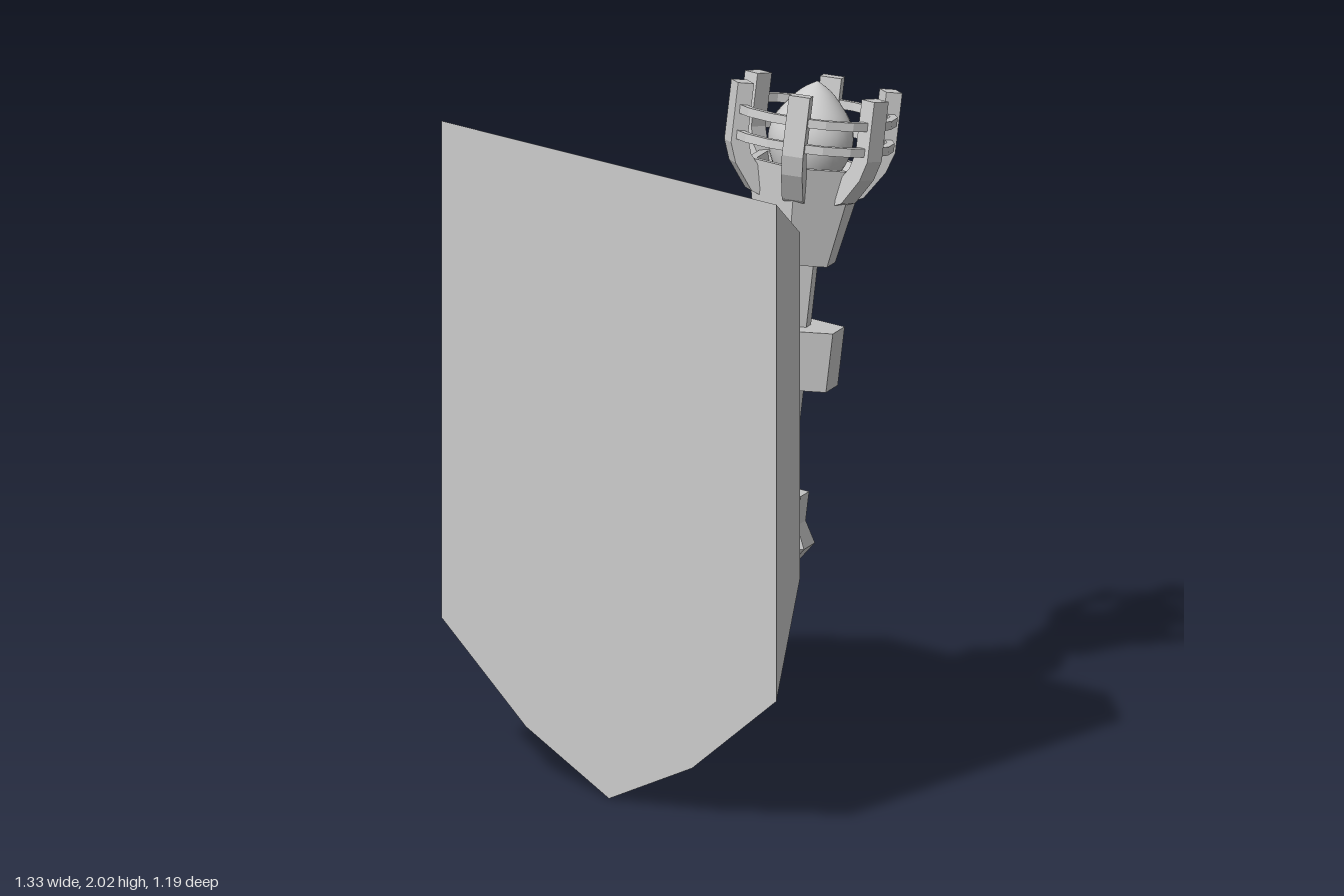
import * as THREE from 'three';
import { toCreasedNormals } from 'three/addons/utils/BufferGeometryUtils.js';

const flat = new THREE.MeshStandardMaterial({ color: 0xcccccc, flatShading: true });
const smooth = new THREE.MeshStandardMaterial({ color: 0xcccccc });

function add(parent, name, geometry, material = flat) {
  const mesh = new THREE.Mesh(geometry, material);
  mesh.name = name;
  parent.add(mesh);
  return mesh;
}

// Revolved profile of [radius, height] points, listed from the bottom up
function turned(profile, sides) {
  const points = profile.map(([r, h]) => new THREE.Vector2(r, h));
  return new THREE.LatheGeometry(points, sides, Math.PI / 2);
}

function fromTriangles(corners) {
  const geometry = new THREE.BufferGeometry().setFromPoints(corners);
  geometry.computeVertexNormals();
  return geometry;
}

// Shield outline: straight sides and top, pointed foot
function shieldRing(w, top, side, innerX, innerY, foot, z) {
  return [[w, top], [-w, top], [-w, side], [-innerX, innerY], [0, foot], [innerX, innerY], [w, side]]
    .map(([x, y]) => new THREE.Vector3(x, y, z));
}

// Band of faces between two outlines, front one first
function band(a, b) {
  const out = [];
  a.forEach((p, i) => {
    const j = (i + 1) % a.length;
    out.push(p, b[i], b[j], p, b[j], a[j]);
  });
  return fromTriangles(out);
}

function cap(ring, flip) {
  const out = [];
  for (let i = 1; i < ring.length - 1; i++) {
    out.push(ring[0], ring[flip ? i + 1 : i], ring[flip ? i : i + 1]);
  }
  return fromTriangles(out);
}

export function createModel() {
  const model = new THREE.Group();
  model.name = 'wallTorch';
  const centreX = -0.032;

  // Shield-shaped plate, tapering toward the torch
  const plate = new THREE.Group();
  plate.name = 'shieldPlate';
  model.add(plate);
  const front = shieldRing(0.665, 1.955, 0.43, 0.33, 0.16, 0.003, 0.597);
  const shoulder = shieldRing(0.44, 1.75, 0.69, 0.22, 0.54, 0.46, 0.243);
  const back = shieldRing(0.4, 1.71, 0.71, 0.2, 0.575, 0.505, 0.225);
  add(plate, 'plateFront', cap(front, false));
  add(plate, 'plateSides', toCreasedNormals(band(front, shoulder), 0.63), smooth);
  add(plate, 'plateBevel', band(shoulder, back));
  add(plate, 'plateBack', cap(back, true));

  // Diamond mount and arm, both four-sided and pointing to -z
  const bracket = new THREE.Group();
  bracket.name = 'bracket';
  bracket.position.set(centreX, 1.19, 0);
  bracket.rotation.x = -Math.PI / 2;
  model.add(bracket);
  add(bracket, 'diamondMount', turned([[0, -0.23], [0.255, -0.225], [0.229, -0.145], [0.195, -0.118], [0, -0.118]], 4));
  add(bracket, 'arm', turned([[0, -0.13], [0.066, -0.13], [0.066, 0.16], [0, 0.16]], 4));

  // Torch leaning away from the plate, measured from its collar
  const torch = new THREE.Group();
  torch.name = 'torch';
  torch.position.set(centreX, 1.193, -0.215);
  torch.rotation.x = THREE.MathUtils.degToRad(-10);
  model.add(torch);

  add(torch, 'shaft', turned([[0, -0.45], [0.073, -0.45], [0.068, 0.3], [0, 0.3]], 6));
  add(torch, 'collar', turned([[0, -0.088], [0.175, -0.088], [0.175, 0.088], [0, 0.088]], 6));
  add(torch, 'pommel', turned([[0, -0.708], [0.046, -0.708], [0.162, -0.562], [0.125, -0.497], [0.125, -0.41], [0, -0.41]], 6));
  add(torch, 'cup', turned([[0, 0.278], [0.122, 0.278], [0.188, 0.575], [0.16, 0.575], [0.135, 0.5], [0, 0.5]], 6));

  // Teardrop flame
  const flameCurve = new THREE.SplineCurve([
    [0, 0.5], [0.08, 0.53], [0.115, 0.585], [0.127, 0.645], [0.114, 0.7], [0.08, 0.75], [0.042, 0.79], [0, 0.816],
  ].map(([r, h]) => new THREE.Vector2(r, h)));
  const flameProfile = flameCurve.getPoints(20).map((p) => [Math.max(p.x, 0), p.y]);
  add(torch, 'flame', turned(flameProfile, 32), smooth);

  // Cage: six bent prongs and two hoops
  const cage = new THREE.Group();
  cage.name = 'cage';
  torch.add(cage);
  const prongShape = new THREE.Shape([
    [0.15, 0.47], [0.175, 0.48], [0.235, 0.56], [0.257, 0.62], [0.257, 0.8],
    [0.207, 0.8], [0.207, 0.64], [0.19, 0.59], [0.15, 0.54],
  ].map(([x, y]) => new THREE.Vector2(x, y)));
  const prong = new THREE.ExtrudeGeometry(prongShape, { depth: 0.064, bevelEnabled: false });
  prong.translate(0, 0, -0.032);
  for (let i = 0; i < 6; i++) {
    add(cage, 'prong', prong).rotation.y = (i * Math.PI) / 3;
  }
  const hoop = turned([[0.225, -0.013], [0.248, -0.013], [0.248, 0.013], [0.225, 0.013], [0.225, -0.013]], 18);
  for (const height of [0.645, 0.722]) {
    add(cage, 'hoop', hoop).position.y = height;
  }

  return model;
}
